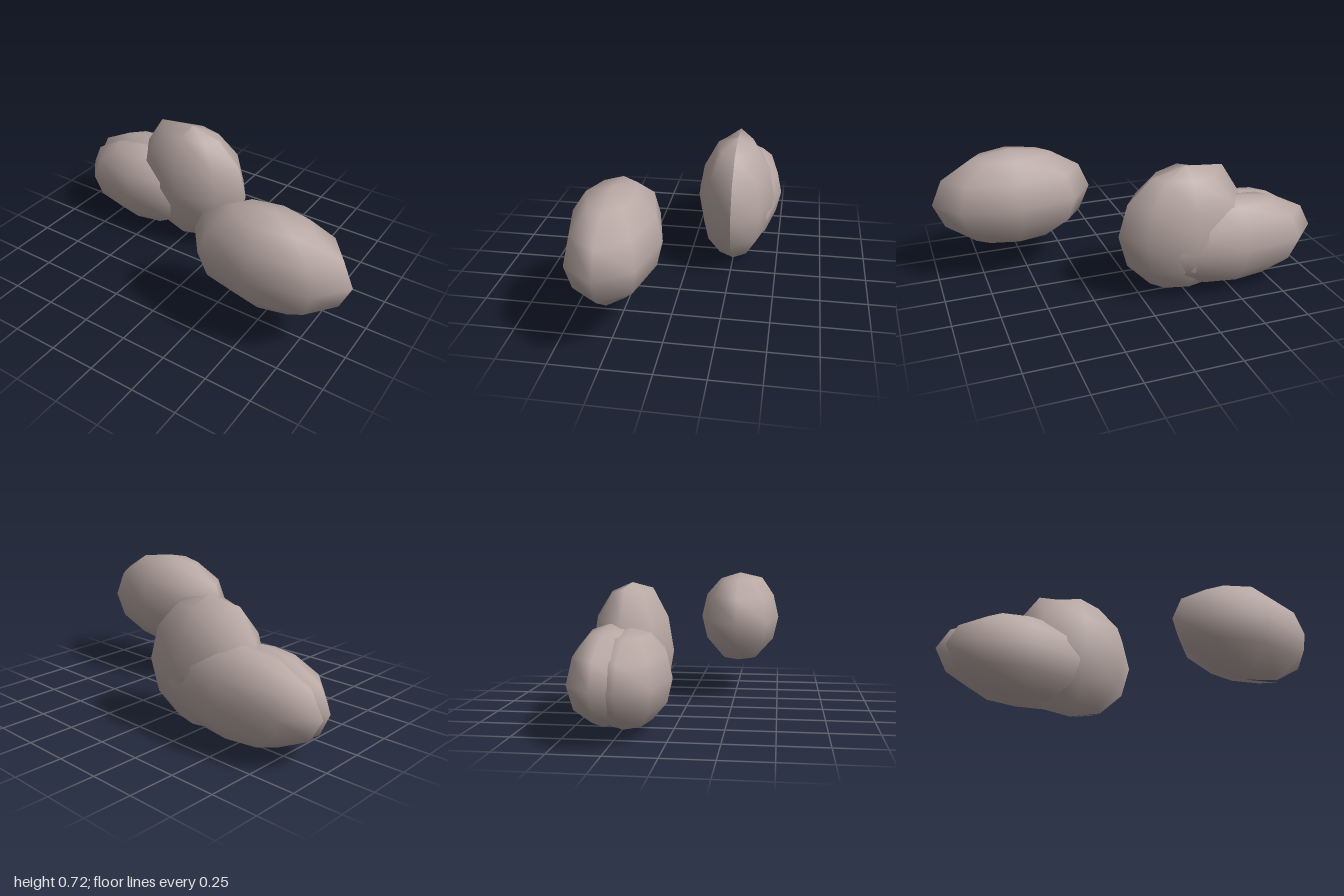
import * as THREE from 'three';
import { mergeVertices } from 'three/addons/utils/BufferGeometryUtils.js';

const RINGS = 6, SEGMENTS = 8;

// A coarse egg-shaped stone: a scaled sphere whose seam faces +x.
// nudges: [ring, segment, dx, dy, dz]; segments 0, 2, 4, 6 face +x, -z, -x, +z.
function pebbleGeometry(size, nudges, creased) {
  const geometry = new THREE.SphereGeometry(1, SEGMENTS, RINGS, Math.PI);
  geometry.scale(...size);
  const p = geometry.attributes.position;
  for (const [ring, segment, dx, dy, dz] of nudges) {
    const i = ring * (SEGMENTS + 1) + segment;
    p.setXYZ(i, p.getX(i) + dx, p.getY(i) + dy, p.getZ(i) + dz);
  }
  geometry.deleteAttribute('normal');
  if (creased) {
    geometry.computeVertexNormals();
    return geometry;
  }
  geometry.deleteAttribute('uv');
  const merged = mergeVertices(geometry, 1e-4);
  merged.computeVertexNormals();
  return merged;
}

export function createModel() {
  const group = new THREE.Group();
  const stone = new THREE.MeshStandardMaterial({ color: 0xb8a8a4 });
  stone.name = 'warm grey stone';

  const pebbles = [
    // the stone lying apart at the front
    { name: 'frontStone', at: [0.553, 0.45, 0.265], size: [0.44, 0.27, 0.235],
      nudges: [[1, 6, 0, 0.006, 0.015], [5, 6, 0, -0.02, -0.02], [5, 0, 0, -0.015, 0]] },
    // the tall stone in the middle, with a ridge towards +x
    { name: 'tallStone', at: [-0.25, 0.355, -0.25], size: [0.362, 0.352, 0.215], creased: true,
      nudges: [[1, 4, -0.03, 0.03, 0], [1, 6, 0, 0.02, 0], [5, 6, 0, -0.01, 0], [5, 0, 0, -0.005, 0]] },
    // the two low stones leaning on it
    { name: 'lowFrontStone', at: [-0.56, 0.268, -0.2], size: [0.41, 0.24, 0.202], nudges: [] },
    { name: 'lowBackStone', at: [-0.51, 0.28, -0.3], size: [0.49, 0.245, 0.2], nudges: [] },
  ];

  for (const { name, at, size, nudges, creased } of pebbles) {
    const mesh = new THREE.Mesh(pebbleGeometry(size, nudges, creased), stone);
    mesh.name = name;
    mesh.position.set(...at);
    group.add(mesh);
  }
  return group;
}
